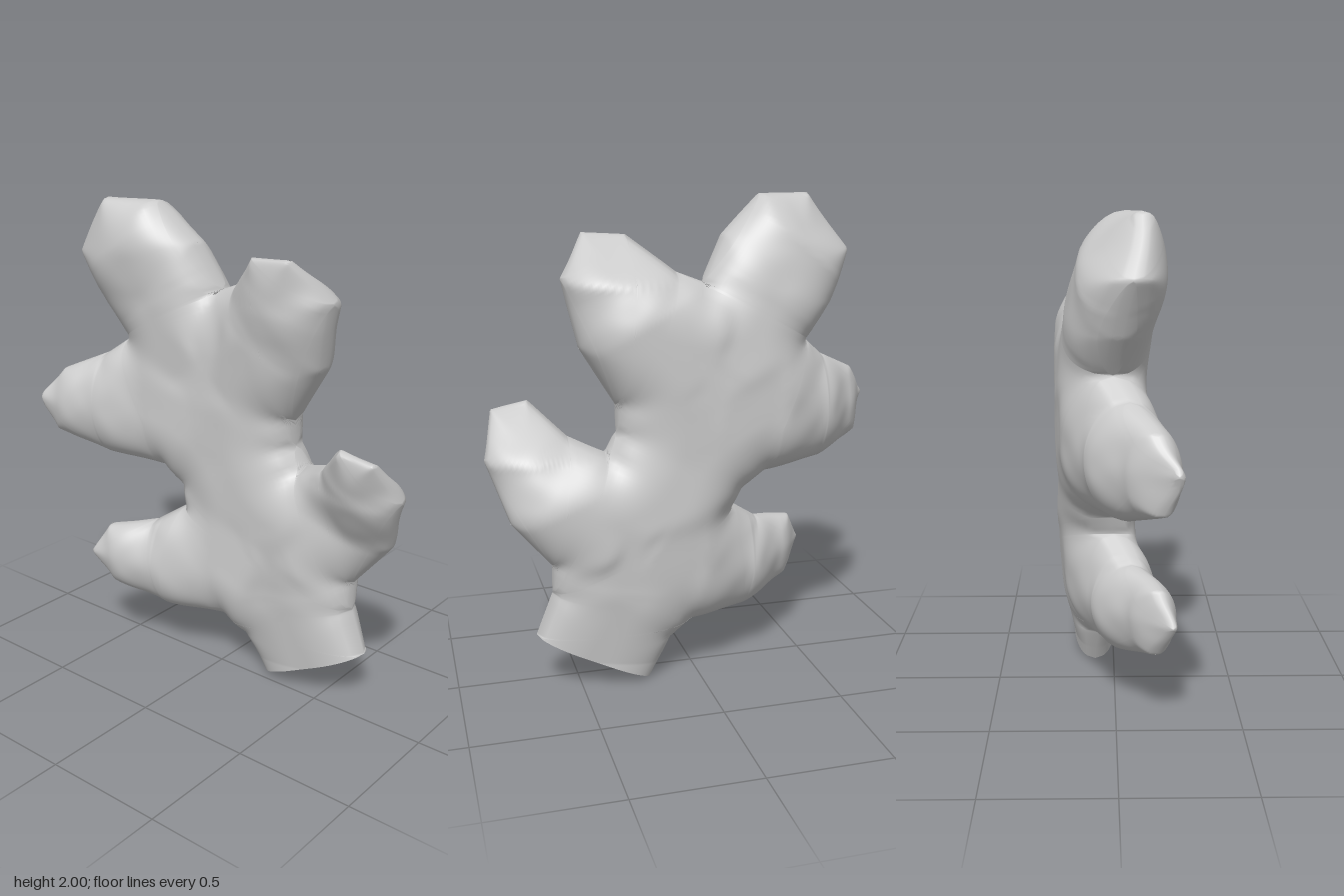
import * as THREE from 'three';
import { mergeVertices } from 'three/addons/utils/BufferGeometryUtils.js';

// Lobed outline, counter-clockwise; its first edge is the cut end of the stem
const outline = [
  [0.20, 0.0], [0.68, 0.24], [0.61, 0.42], [0.61, 0.54], [0.77, 0.73], [0.855, 0.97], [0.81, 1.15], [0.66, 1.18],
  [0.52, 1.05], [0.375, 0.99], [0.33, 1.07], [0.33, 1.18], [0.47, 1.41], [0.53, 1.68], [0.42, 1.85], [0.24, 1.84],
  [0.07, 1.70], [-0.035, 1.66], [-0.13, 1.84], [-0.30, 2.0], [-0.53, 2.0], [-0.70, 1.77], [-0.60, 1.56],
  [-0.49, 1.41], [-0.59, 1.33], [-0.765, 1.25], [-0.86, 1.12], [-0.80, 0.96], [-0.57, 0.88], [-0.30, 0.855],
  [-0.21, 0.79], [-0.18, 0.71], [-0.31, 0.62], [-0.50, 0.58], [-0.57, 0.45], [-0.48, 0.31], [-0.23, 0.23],
  [0.02, 0.23], [0.11, 0.165],
].map(([x, y]) => new THREE.Vector2(x, y));

// Skeleton chains of nodes: x, y, middle depth, half thickness
const chains = [
  [[0.44, 0.12, -0.085, 0.095], [0.38, 0.44, -0.09, 0.14], [0.28, 0.7, -0.085, 0.165], [0.08, 0.95, -0.07, 0.165],
    [0, 1.2, -0.07, 0.175], [-0.03, 1.45, -0.075, 0.17]], // stem
  [[0.4, 0.62, -0.095, 0.16], [0.64, 0.76, -0.11, 0.14], [0.73, 0.97, -0.02, 0.15], [0.74, 1.16, 0.12, 0.07]], // left side lobe
  [[0.05, 1.3, -0.075, 0.175], [0.25, 1.5, -0.06, 0.19], [0.34, 1.66, -0.015, 0.18], [0.34, 1.85, 0.13, 0.07]], // left top lobe
  [[-0.08, 1.35, -0.07, 0.17], [-0.28, 1.6, -0.03, 0.17], [-0.42, 1.81, 0.02, 0.17], [-0.54, 1.96, 0.09, 0.1]], // right top lobe
  [[-0.08, 1.15, -0.07, 0.175], [-0.34, 1.12, -0.045, 0.17], [-0.57, 1.1, 0.035, 0.16], [-0.74, 1.1, 0.13, 0.12],
    [-0.84, 1.1, 0.21, 0.06]], // right middle lobe
  [[0.2, 0.6, -0.08, 0.16], [0, 0.47, -0.055, 0.155], [-0.26, 0.44, 0.04, 0.145], [-0.45, 0.44, 0.145, 0.11],
    [-0.56, 0.44, 0.215, 0.06]], // right lower lobe
];

const ROUNDING = 0.21;

// Squared distance from p to segment ab, and the position along it
function nearest(px, py, ax, ay, bx, by) {
  const ex = bx - ax, ey = by - ay;
  const t = THREE.MathUtils.clamp(((px - ax) * ex + (py - ay) * ey) / (ex * ex + ey * ey), 0, 1);
  return [(px - ax - t * ex) ** 2 + (py - ay - t * ey) ** 2, t];
}

// Smooth distance to every outline edge except the cut one
function rimDistance(p) {
  let sum = 0;
  for (let i = 1; i < outline.length; i++) {
    const a = outline[i], b = outline[(i + 1) % outline.length];
    const [d2] = nearest(p.x, p.y, a.x, a.y, b.x, b.y);
    if (d2 < 1e-14) return 0;
    sum += d2 ** -3;
  }
  return sum ** (-1 / 6);
}

// Front and back points of the body above one outline point, blended from the chains
function depthAt(p) {
  let weight = 0, middle = 0, half = 0;
  for (const chain of chains) {
    for (let i = 1; i < chain.length; i++) {
      const a = chain[i - 1], b = chain[i];
      const [d2, t] = nearest(p.x, p.y, a[0], a[1], b[0], b[1]);
      const w = 1 / (d2 + 0.004) ** 3;
      weight += w;
      middle += w * THREE.MathUtils.lerp(a[2], b[2], t);
      half += w * THREE.MathUtils.lerp(a[3], b[3], t);
    }
  }
  const u = 1 - Math.min(rimDistance(p) / ROUNDING, 1);
  const thickness = (half / weight) * Math.sqrt(1 - u * u);
  return [middle / weight + thickness, middle / weight - thickness];
}

// Split a triangle into four, repeatedly
function subdivide(a, b, c, level, emit) {
  if (level === 0) return emit(a, b, c);
  const mid = (p, q) => p.clone().add(q).multiplyScalar(0.5);
  const ab = mid(a, b), bc = mid(b, c), ca = mid(c, a);
  for (const t of [[a, ab, ca], [ab, b, bc], [ca, bc, c], [ab, bc, ca]]) subdivide(...t, level - 1, emit);
}

function toGeometry(positions) {
  let g = new THREE.BufferGeometry();
  g.setAttribute('position', new THREE.Float32BufferAttribute(positions, 3));
  g = mergeVertices(g, 1e-5);
  g.computeVertexNormals();
  return g;
}

// Domed front and back sheets that meet at the rim
function bodyGeometry() {
  const positions = [];
  const emit = (a, b, c) => {
    const pts = [a, b, c];
    const depths = pts.map(depthAt);
    for (const i of [0, 1, 2]) positions.push(pts[i].x, pts[i].y, depths[i][0]);
    for (const i of [0, 2, 1]) positions.push(pts[i].x, pts[i].y, depths[i][1]);
  };
  for (const [i, j, k] of THREE.ShapeUtils.triangulateShape(outline, [])) {
    const a = outline[i], b = outline[j], c = outline[k];
    const ccw = (b.x - a.x) * (c.y - a.y) - (b.y - a.y) * (c.x - a.x) > 0;
    subdivide(a, ccw ? b : c, ccw ? c : b, 5, emit);
  }
  return toGeometry(positions);
}

// Flat oval closing the cut stem
function cutGeometry() {
  const positions = [], steps = 32;
  const at = (i) => {
    const p = outline[0].clone().lerp(outline[1], i / steps);
    return depthAt(p).map((z) => [p.x, p.y, z]);
  };
  for (let i = 0; i < steps; i++) {
    const [f0, b0] = at(i), [f1, b1] = at(i + 1);
    positions.push(...f0, ...b0, ...b1, ...f0, ...b1, ...f1);
  }
  return toGeometry(positions);
}

export function createModel() {
  const group = new THREE.Group();
  group.name = 'lobedBranch';
  const material = new THREE.MeshStandardMaterial({ color: 0xcccccc });
  const add = (name, geometry) => {
    const mesh = new THREE.Mesh(geometry, material);
    mesh.name = name;
    group.add(mesh);
  };
  add('lobedBody', bodyGeometry());
  add('stemCut', cutGeometry());
  return group;
}
